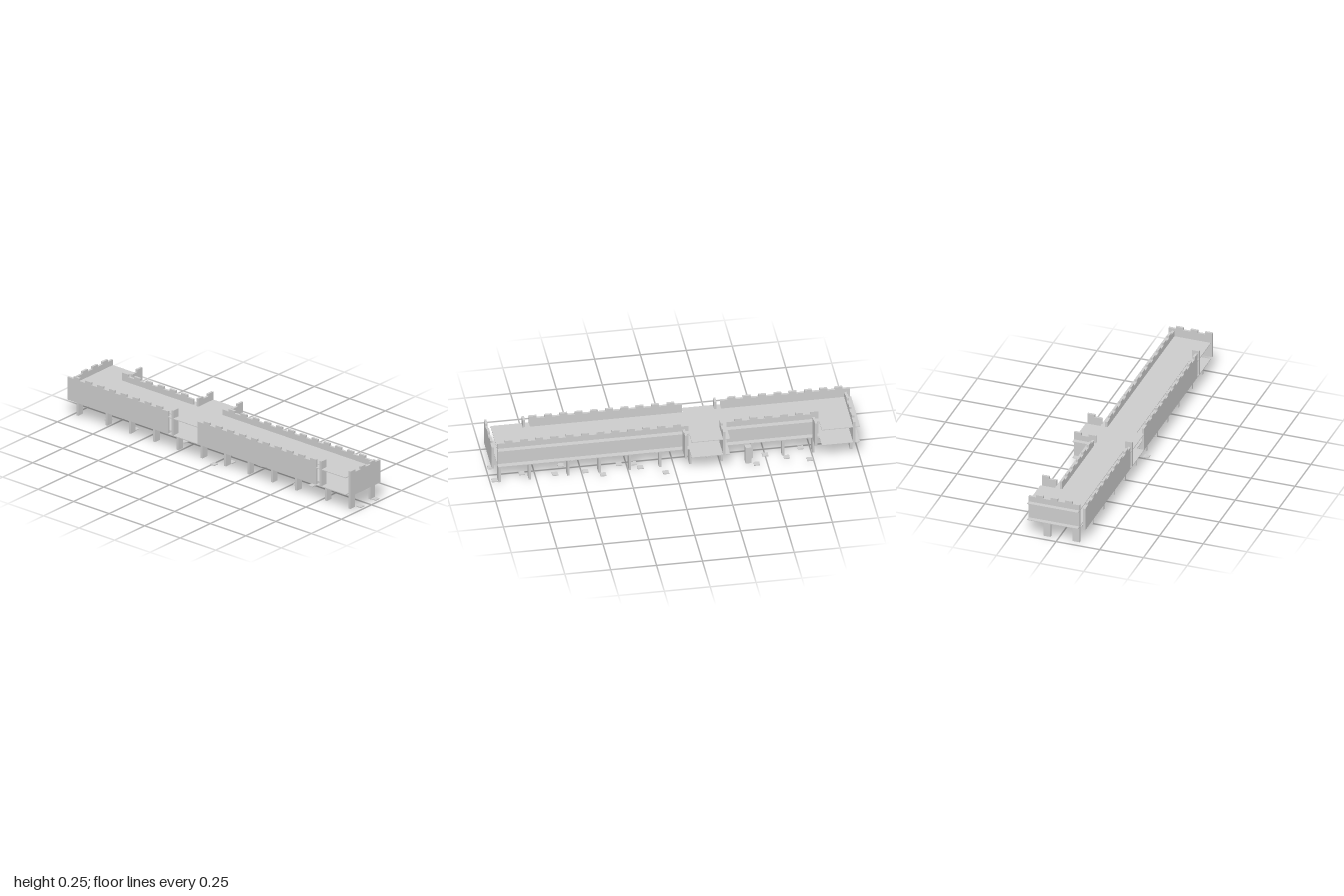
import * as THREE from 'three';

const U = 1 / 24;          // one battlement step
const T = 0.013;           // panel thickness
const BASE = 0.103, LOW = 0.236, HIGH = 0.25;

export function createModel() {
  const model = new THREE.Group();
  model.name = 'castleWallWalk';
  const grey = new THREE.MeshStandardMaterial({ color: 0xcccccc });
  grey.name = 'stoneGrey';

  function add(geometry, name, x = 0, y = 0, z = 0) {
    const mesh = new THREE.Mesh(geometry, grey);
    mesh.name = name;
    mesh.position.set(x, y, z);
    model.add(mesh);
    return mesh;
  }

  // Upright panel of n steps whose top alternates between notch and merlon
  function battlement(n, startHigh) {
    const s = new THREE.Shape();
    s.moveTo(0, BASE);
    s.lineTo(n * U, BASE);
    for (let i = n - 1; i >= 0; i--) {
      const top = (i % 2 === 0) === startHigh ? HIGH : LOW;
      s.lineTo((i + 1) * U, top);
      s.lineTo(i * U, top);
    }
    return new THREE.ExtrudeGeometry(s, { depth: T, bevelEnabled: false });
  }

  // Panels running along x: [name, start step, steps, starts high, back z]
  const crossWalls = [
    ['frontWall', -4, 6, true, 0.981],
    ['backWall', -3, 7, false, -0.975],
    ['innerBayWall', 1, 3, true, -0.267],
    ['frontBayWall', 2, 2, false, -0.059],
    ['rearBayWall', 2, 2, false, -0.767],
    ['rightMiddleReturn', -4, 1, true, -0.267],
    ['rightFrontReturn', -4, 1, true, 0.776],
  ];
  for (const [name, start, n, high, z] of crossWalls) {
    add(battlement(n, high), name, start * U, 0, z);
  }

  // Panels running along z: [name, start step, steps, starts high, low x]
  const longWalls = [
    ['rightRearWall', -24, 17, false, -0.167],
    ['rightFrontWall', -2, 20, false, -0.167],
    ['leftRearWall', -19, 12, true, 0.042],
    ['leftFrontWall', -2, 25, false, 0.042],
  ];
  for (const [name, start, n, high, x] of longWalls) {
    const g = battlement(n, high);
    g.rotateY(-Math.PI / 2);
    add(g, name, x + T, 0, start * U);
  }

  // Two identical floors, outlined in steps (x, z)
  const outline = [
    [-3, -24], [4, -24], [4, -19], [2, -19], [2, -7], [4, -7], [4, -2], [2, -2],
    [2, 23], [-4, 23], [-4, 18], [-3, 18], [-3, -2], [-4, -2], [-4, -7], [-3, -7],
  ];
  const floorShape = new THREE.Shape(outline.map(([x, z]) => new THREE.Vector2(x * U, -z * U)));
  const floor = new THREE.ExtrudeGeometry(floorShape, { depth: 0.004, bevelEnabled: false });
  floor.rotateX(-Math.PI / 2);
  add(floor, 'lowerFloor', 0, 0.101, 0);
  add(floor, 'upperFloor', 0, 0.2, 0);

  // Two rows of flat legs
  const leg = new THREE.BoxGeometry(0.04, 0.098, T);
  const legZ = [-0.965, -0.76, -0.595, -0.425, -0.26, -0.09, 0.075, 0.24, 0.405, 0.575, 0.785, 0.95];
  for (const z of legZ) {
    add(leg, 'rightLeg', -0.105, 0.054, z);
    add(leg, 'leftLeg', 0.0625, 0.054, z);
  }

  // Square post beside the rear walk
  add(new THREE.BoxGeometry(0.033, 0.096, 0.033), 'squarePost', 0.104, 0.053, -0.4);

  // Small paving slabs scattered on the ground (x, bottom y, z)
  const slab = new THREE.BoxGeometry(0.032, 0.005, 0.032);
  const slabs = [
    [-0.063, 0.005, 0.975], [0.062, 0.005, 0.975], [0.104, 0.005, 0.39], [0.145, 0.008, 0.055],
    [0.104, 0, -0.4], [0.145, 0.008, -0.44], [0.104, 0.005, -0.61], [0.145, 0.005, -0.73],
    [-0.146, 0.005, 0.015], [0.02, 0.005, 0.82], [0.062, 0.009, 0.645], [-0.021, 0.005, 0.6],
    [-0.063, 0.005, 0.53], [0.062, 0.008, 0.48], [0.02, 0.005, 0.29], [0.02, 0, 0.21],
    [0.062, 0, 0.18], [-0.063, 0.005, 0.07], [0.02, 0.005, -0.2], [-0.021, 0.005, -0.3],
    [0.062, 0.005, -0.5], [-0.063, 0.005, -0.61], [0.02, 0, -0.7], [-0.063, 0.005, -0.8],
  ];
  for (const [x, y, z] of slabs) add(slab, 'pavingSlab', x, y + 0.0025, z);

  return model;
}
